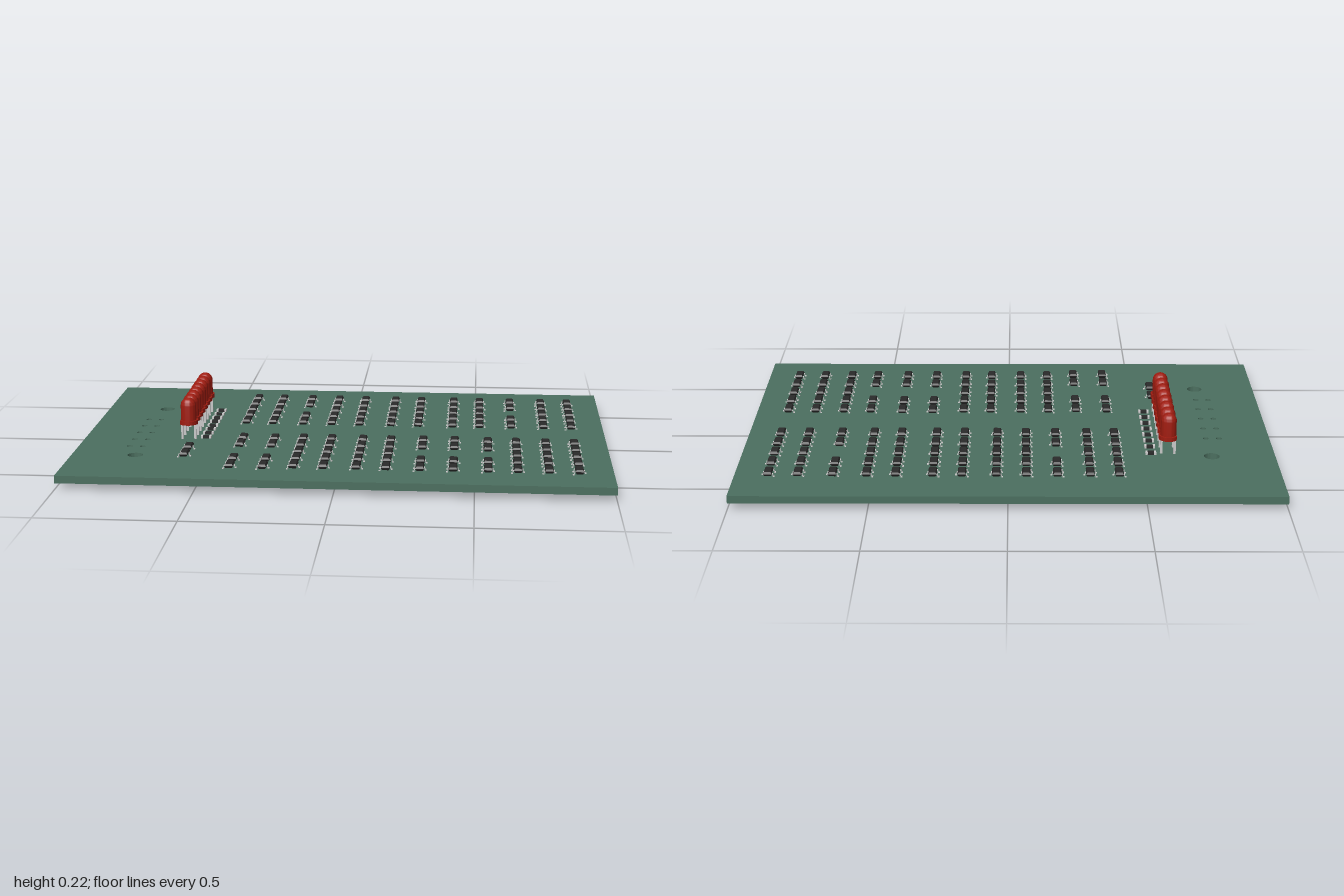
import * as THREE from 'three';
import { mergeGeometries, toCreasedNormals } from 'three/addons/utils/BufferGeometryUtils.js';

const BOTTOM = 0.024, TOP = 0.052; // board faces
const mat = (color) => new THREE.MeshStandardMaterial({ color });
const green = mat(0x4c7060), red = mat(0xa01c10), black = mat(0x2a2a2a), metal = mat(0xcccccc);

function part(name, geometry, material, parent) {
  const mesh = new THREE.Mesh(geometry, material);
  mesh.name = name;
  parent.add(mesh);
  return mesh;
}

function rectangle(w, h) {
  return new THREE.Shape([[-w, -h], [w, -h], [w, h], [-w, h]].map(([x, y]) => new THREE.Vector2(x / 2, y / 2)));
}

// Extrudes a plan shape upwards; shape y becomes -z
function slab(shape, y, depth, options = {}) {
  return new THREE.ExtrudeGeometry(shape, { depth, bevelEnabled: false, curveSegments: 24, ...options })
    .rotateX(-Math.PI / 2).translate(0, y, 0);
}

// Board with two mounting holes and two rows of connector holes
function boardGeometry() {
  const shape = rectangle(2, 1.345);
  const hole = (x, z, r) => shape.holes.push(new THREE.Path().absarc(x, -z, r, 0, Math.PI * 2, true));
  for (const z of [-0.31, 0.38]) hole(-0.762, z, 0.029);
  for (let i = 0; i < 5; i++) for (const x of [-0.807, -0.757]) hole(x, -0.14 + i * 0.1, 0.011);
  return toCreasedNormals(slab(shape, BOTTOM, TOP - BOTTOM), 0.6);
}

// Small three-legged chip: body tapered above and below its middle
function chipBodyGeometry() {
  return slab(rectangle(0.023, 0.051), 0.012, 0.002, {
    bevelEnabled: true, bevelSize: 0.004, bevelThickness: 0.007, bevelSegments: 1,
  });
}

// Bent legs: two on one side, one on the other
function chipLegsGeometry() {
  const profile = new THREE.Shape([
    [0.012, 0.010], [0.017, 0.010], [0.019, 0], [0.025, 0],
    [0.025, 0.003], [0.021, 0.003], [0.019, 0.013], [0.012, 0.013],
  ].map(([x, y]) => new THREE.Vector2(x, y)));
  const leg = (z, turn) => new THREE.ExtrudeGeometry(profile, { depth: 0.008, bevelEnabled: false })
    .translate(0, 0, z - 0.004).rotateY(turn);
  return mergeGeometries([leg(0, 0), leg(-0.019, Math.PI), leg(0.019, Math.PI)]);
}

function chipPositions() {
  const list = [[-0.577, 0.285], [-0.577, 0.38]];
  // Rear block
  const rearX = [-0.406, -0.3, -0.18, -0.067, 0.043, 0.168, 0.275, 0.41, 0.516, 0.64, 0.767, 0.875];
  [-0.484, -0.39, -0.297, -0.206, -0.112].forEach((z, row) => rearX.forEach((x, col) => {
    if (row === 2 && (col === 2 || col === 9)) return;
    list.push([x, z]);
  }));
  // Front block
  const frontX = [-0.388, -0.267, -0.157, -0.048, 0.072, 0.179, 0.302, 0.422, 0.548, 0.655, 0.767, 0.875];
  [0.134, 0.227, 0.318, 0.41, 0.505].forEach((z, row) => frontX.forEach((x, col) => {
    if (row === 2 && [0, 1, 6, 7, 8].includes(col)) return;
    let dz = 0;
    if (col < 2) dz = row > 2 ? 0.016 : 0.005;
    else if ((col === 6 || col === 7) && row < 2) dz = -0.008;
    list.push([x, z + dz]);
  }));
  return list;
}

// Lamp: domed body, rim with one flat edge, two wire leads
function lampBodyGeometry() {
  const r = 0.0295, points = [new THREE.Vector2(0, 0.113), new THREE.Vector2(r, 0.113)];
  for (let i = 0; i <= 8; i++) {
    const a = (i / 8) * Math.PI / 2;
    points.push(new THREE.Vector2(i === 8 ? 0 : r * Math.cos(a), 0.186 + r * Math.sin(a)));
  }
  return toCreasedNormals(new THREE.LatheGeometry(points, 28), 0.6);
}

function lampRimGeometry() {
  const a = Math.acos(-0.03 / 0.036);
  const shape = new THREE.Shape().absarc(0, 0, 0.036, -a, a, false);
  shape.closePath();
  return toCreasedNormals(slab(shape, 0.113, 0.016), 0.6);
}

function lampLeadsGeometry() {
  return mergeGeometries([-0.025, 0.025].map((x) =>
    new THREE.BoxGeometry(0.009, 0.116, 0.009).translate(x, 0.058, 0)));
}

export function createModel() {
  const model = new THREE.Group();
  model.name = 'circuitBoard';
  part('board', boardGeometry(), green, model);

  // Chips
  const chipBody = chipBodyGeometry(), chipLegs = chipLegsGeometry();
  for (const [x, z] of chipPositions()) {
    const chip = new THREE.Group();
    chip.name = 'chip';
    part('chipBody', chipBody, black, chip);
    part('chipLegs', chipLegs, metal, chip);
    chip.position.set(x, TOP, z);
    model.add(chip);
  }

  // Row of lamps, each with a small resistor beside it
  const body = lampBodyGeometry(), rim = lampRimGeometry(), leads = lampLeadsGeometry();
  const core = new THREE.BoxGeometry(0.024, 0.009, 0.02).translate(0, 0.0045, 0);
  const caps = mergeGeometries([-0.016, 0.016].map((x) =>
    new THREE.BoxGeometry(0.008, 0.01, 0.02).translate(x, 0.005, 0)));
  for (let i = 0; i < 8; i++) {
    const lamp = new THREE.Group();
    lamp.name = 'lamp';
    part('lampBody', body, red, lamp);
    part('lampRim', rim, red, lamp);
    part('lampLeads', leads, metal, lamp);
    lamp.position.set(-0.599, 0, -0.283 + i * 0.0604);
    model.add(lamp);

    const resistor = new THREE.Group();
    resistor.name = 'resistor';
    part('resistorBody', core, black, resistor);
    part('resistorEnds', caps, metal, resistor);
    resistor.position.set(-0.535, TOP, -0.288 + i * 0.0586);
    model.add(resistor);
  }
  return model;
}
